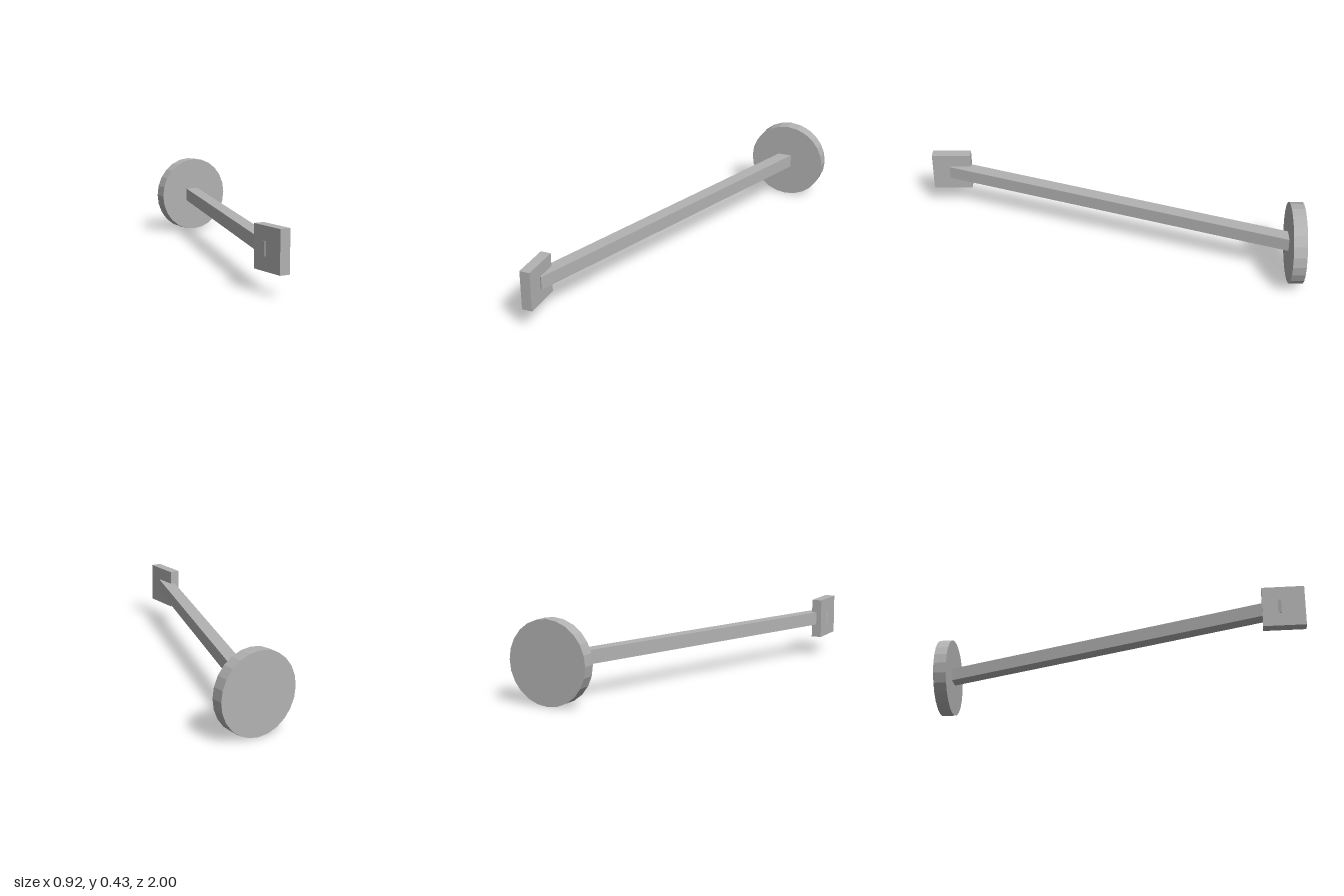
import * as THREE from 'three';

export function createModel() {
  const group = new THREE.Group();
  const grey = new THREE.MeshStandardMaterial({ color: 0xb2b2b2, flatShading: true });
  grey.name = 'grey';

  const add = (name, geometry, position) => {
    const mesh = new THREE.Mesh(geometry, grey);
    mesh.name = name;
    mesh.position.copy(position);
    group.add(mesh);
    return mesh;
  };

  const discCentre = new THREE.Vector3(0.247, 0.215, -0.965);
  const plateCentre = new THREE.Vector3(-0.43, 0.215, 0.893);

  // round end disc, facing front and back
  const disc = new THREE.CylinderGeometry(0.213, 0.213, 0.07, 24).rotateX(Math.PI / 2);
  add('endDisc', disc, discCentre);

  // square end plate, facing sideways
  add('endPlate', new THREE.BoxGeometry(0.055, 0.214, 0.214), plateCentre);

  // square bar running between the two centres
  const length = discCentre.distanceTo(plateCentre);
  const middle = discCentre.clone().add(plateCentre).multiplyScalar(0.5);
  const bar = add('bar', new THREE.BoxGeometry(0.071, 0.071, length), middle);
  bar.lookAt(plateCentre);

  return group;
}
